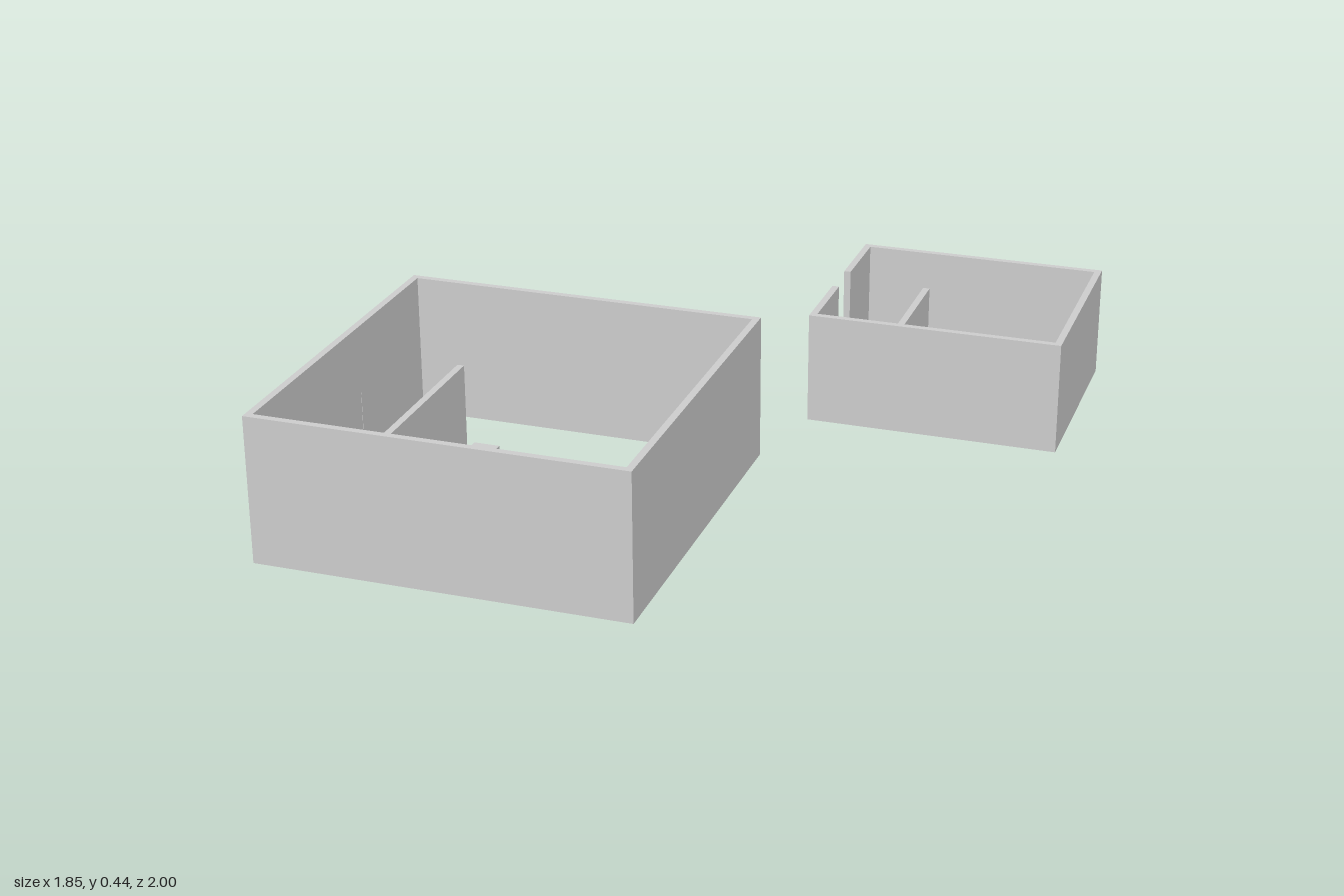
import * as THREE from 'three';

const material = new THREE.MeshStandardMaterial({ color: 0xcccccc, flatShading: true });

// Box given by its extents along each axis
function box(parent, name, [x0, x1], [y0, y1], [z0, z1]) {
  const mesh = new THREE.Mesh(new THREE.BoxGeometry(x1 - x0, y1 - y0, z1 - z0), material);
  mesh.position.set((x0 + x1) / 2, (y0 + y1) / 2, (z0 + z1) / 2);
  mesh.name = name;
  parent.add(mesh);
  return mesh;
}

// Front, back and left walls plus a right wall with a doorway (full height when doorTop is the wall top)
function walls(parent, [x0, x1], [y0, y1], [z0, z1], [d0, d1], doorTop, t = 0.02) {
  const height = y1 - y0, zm = (z0 + z1) / 2;
  const rect = (w0, w1, h0, h1) => [[w0, h0], [w1, h0], [w1, h1], [w0, h1]];
  box(parent, 'backWall', [x0, x1], [y0, y1], [z0, z0 + t]);
  box(parent, 'frontWall', [x0, x1], [y0, y1], [z1 - t, z1]);
  box(parent, 'leftWall', [x1 - t, x1], [y0, y1], [z0 + t, z1 - t]);

  // The doorway is cut from the outline, which is drawn along -z and extruded along -x
  const wallOutlines = doorTop < y1
    ? [[[z0 + t, y0], [d0, y0], [d0, doorTop], [d1, doorTop], [d1, y0], [z1 - t, y0], [z1 - t, y1], [z0 + t, y1]]]
    : [rect(z0 + t, d0, y0, y0 + height), rect(d1, z1 - t, y0, y0 + height)];
  for (const outline of wallOutlines) {
    const shape = new THREE.Shape(outline.map(([z, y]) => new THREE.Vector2(zm - z, y)));
    const wall = new THREE.Mesh(new THREE.ExtrudeGeometry(shape, { depth: t, bevelEnabled: false }), material);
    wall.rotation.y = Math.PI / 2;
    wall.position.set(x0, 0, zm);
    wall.name = 'rightWall';
    parent.add(wall);
  }
}

export function createModel() {
  const model = new THREE.Group();
  model.name = 'twoRooms';
  const floorY = 0.015;

  // Large room, open below, with a closed door recessed in its right wall
  const large = new THREE.Group();
  large.name = 'largeRoom';
  walls(large, [-0.925, 0.13], [floorY, 0.435], [-0.06, 1], [0.36, 0.57], 0.24);
  box(large, 'door', [-0.913, -0.906], [floorY, 0.24], [0.36, 0.57]);
  box(large, 'partition', [-0.695, -0.675], [floorY, 0.275], [0.17, 0.765]);
  box(large, 'counter', [-0.59, -0.515], [floorY, 0.11], [0.31, 0.625]);
  box(large, 'coffeeTable', [-0.145, -0.085], [floorY, 0.06], [0.685, 0.81]);

  // Sofa: seat, back and two arms
  const sofa = new THREE.Group();
  sofa.name = 'sofa';
  box(sofa, 'seat', [-0.03, 0.025], [floorY, 0.05], [0.645, 0.855]);
  box(sofa, 'back', [0.025, 0.05], [floorY, 0.1], [0.62, 0.88]);
  for (const z of [0.62, 0.855]) box(sofa, 'arm', [-0.03, 0.025], [floorY, 0.1], [z, z + 0.025]);
  large.add(sofa);

  // Small room with a floor and a full-height doorway
  const small = new THREE.Group();
  small.name = 'smallRoom';
  box(small, 'floor', [0.18, 0.92], [0, 0.012], [-1, -0.37]);
  walls(small, [0.18, 0.92], [0.012, 0.33], [-1, -0.37], [-0.75, -0.62], 0.33);
  box(small, 'partition', [0.405, 0.425], [0.012, 0.27], [-0.84, -0.53]);
  box(small, 'counter', [0.51, 0.585], [0.012, 0.115], [-0.79, -0.58]);

  model.add(large, small);
  return model;
}
